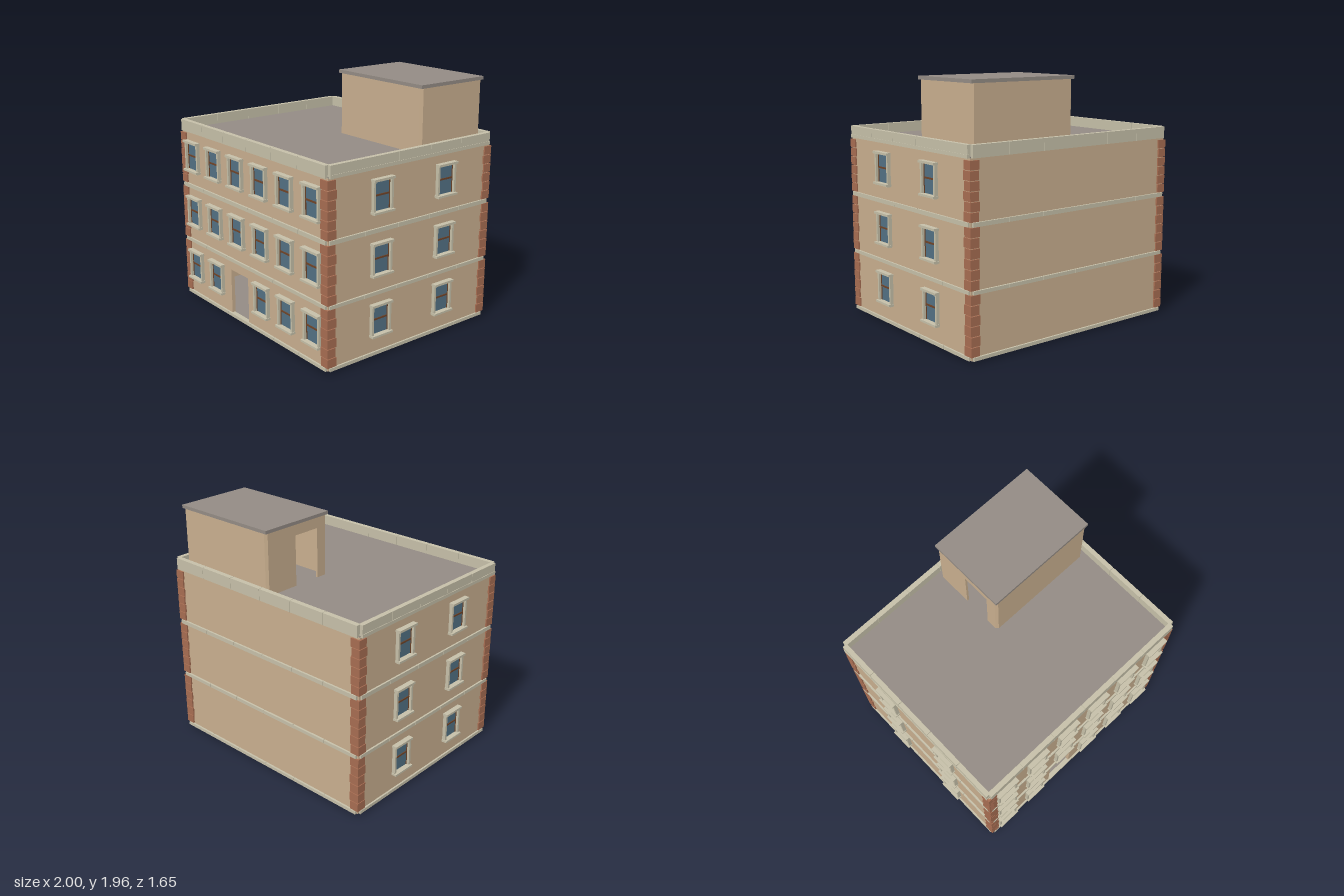
import * as THREE from 'three';

const mat = (name, color) => {
  const m = new THREE.MeshStandardMaterial({ color });
  m.name = name;
  return m;
};

export function createModel() {
  const wall = mat('tan wall', 0xc8ae8e);
  const stone = mat('pale stone', 0xc5bfa8);
  const brick = mat('red brick', 0xa66c51);
  const glass = mat('blue glass', 0x527083);
  const wood = mat('brown wood', 0x6e4429);
  const grey = mat('grey roofing', 0x938b84);

  const model = new THREE.Group();
  model.name = 'building';
  const group = (name, parent = model) => {
    const g = new THREE.Group();
    g.name = name;
    parent.add(g);
    return g;
  };
  // Box given by its limits on each axis
  const box = (parent, name, m, x0, x1, y0, y1, z0, z1) => {
    const mesh = new THREE.Mesh(new THREE.BoxGeometry(x1 - x0, y1 - y0, z1 - z0), m);
    mesh.position.set((x0 + x1) / 2, (y0 + y1) / 2, (z0 + z1) / 2);
    mesh.name = name;
    parent.add(mesh);
    return mesh;
  };

  // Main block limits
  const X = 0.955, ZF = 0.782, ZB = -0.812, T = 0.03;

  // Foundation, hollow walls with a front doorway, flat roof
  box(model, 'foundation', grey, -0.925, 0.925, 0, 0.04, -0.785, 0.76);
  const walls = group('walls');
  const y0 = 0.02, y1 = 1.44, doorL = -0.28, doorR = -0.04, doorTop = 0.415;
  box(walls, 'backWall', wall, -X, X, y0, y1, ZB, ZB + T);
  for (const s of [-1, 1]) {
    const a = s * X, b = s * (X - T);
    box(walls, 'sideWall', wall, Math.min(a, b), Math.max(a, b), y0, y1, ZB + T, ZF - T);
  }
  box(walls, 'frontWall', wall, -X, doorL, y0, doorTop, ZF - T, ZF);
  box(walls, 'frontWall', wall, doorR, X, y0, doorTop, ZF - T, ZF);
  box(walls, 'frontWall', wall, -X, X, doorTop, y1, ZF - T, ZF);
  box(model, 'roof', grey, -0.95, 0.95, 1.438, 1.452, -0.805, 0.775);

  // Stone courses: segmented strips around the block, with open corners
  const course = (name, bottom, top) => {
    const g = group(name), gap = 0.0015;
    const nx = 6, wx = 1.89 / nx;
    for (let i = 0; i < nx; i++) {
      const a = -0.945 + i * wx;
      box(g, 'frontStone', stone, a + gap, a + wx - gap, bottom, top, 0.757, 0.797);
      box(g, 'backStone', stone, a + gap, a + wx - gap, bottom, top, -0.828, -0.788);
    }
    const nz = 5, wz = 1.574 / nz;
    for (let i = 0; i < nz; i++) {
      const a = -0.8 + i * wz;
      box(g, 'leftStone', stone, 0.932, 0.969, bottom, top, a + gap, a + wz - gap);
      box(g, 'rightStone', stone, -0.969, -0.932, bottom, top, a + gap, a + wz - gap);
    }
    return g;
  };
  course('baseCourse', 0.018, 0.044);
  course('lowerCourse', 0.495, 0.522);
  course('upperCourse', 0.97, 1.002);
  const parapet = course('parapet', 1.442, 1.533);
  for (const s of [-1, 1]) {
    box(parapet, 'parapetLedge', stone, s * 0.955 - 0.018, s * 0.955 + 0.018, 1.44, 1.466, -0.8, 0.774);
  }

  // Brick quoins at the four corners, alternating long and short
  const quoins = group('quoins');
  for (const [bottom, top] of [[0.044, 0.495], [0.522, 0.97], [1.002, 1.43]]) {
    const n = 6, h = (top - bottom) / n;
    for (let i = 0; i < n; i++) {
      const lx = i % 2 ? 0.08 : 0.074, lz = i % 2 ? 0.072 : 0.08;
      const a = bottom + i * h + 0.003, b = bottom + (i + 1) * h - 0.003;
      for (const s of [-1, 1]) {
        const xa = s * 0.966, xb = s * (0.966 - lx);
        const lo = Math.min(xa, xb), hi = Math.max(xa, xb);
        // Two slabs form an L so the room behind stays clear
        const xo = s * (X - 0.02);
        for (const [zo, d] of [[0.794, -1], [-0.824, 1]]) {
          const zi = zo + d * 0.025, ze = zo + d * lz;
          box(quoins, 'quoin', brick, lo, hi, a, b, Math.min(zo, zi), Math.max(zo, zi));
          box(quoins, 'quoin', brick, Math.min(xa, xo), Math.max(xa, xo), a, b,
            Math.min(zi, ze), Math.max(zi, ze));
        }
      }
    }
  }

  // Sash window facing +z with its sill at the local origin
  const addWindow = (x, y, z, angle) => {
    const w = group('window');
    box(w, 'pane', glass, -0.076, 0.076, 0.012, 0.245, -0.002, 0.003);
    for (const s of [-1, 1]) {
      box(w, 'jamb', stone, s * 0.084 - 0.009, s * 0.084 + 0.009, 0.015, 0.242, 0, 0.028);
      box(w, 'sashSide', wood, s * 0.0725 - 0.003, s * 0.0725 + 0.003, 0.015, 0.242, 0, 0.008);
      box(w, 'sillFoot', stone, s * 0.08 - 0.01, s * 0.08 + 0.01, -0.005, 0.004, 0, 0.032);
    }
    box(w, 'meetingRail', wood, -0.075, 0.075, 0.126, 0.139, 0, 0.009);
    box(w, 'sill', stone, -0.098, 0.098, 0.002, 0.018, 0, 0.045);
    box(w, 'lintel', stone, -0.098, 0.098, 0.24, 0.258, 0, 0.042);
    w.position.set(x, y, z);
    w.rotation.y = angle;
  };
  for (let floor = 0; floor < 3; floor++) {
    const y = 0.169 + floor * 0.4725;
    for (let i = 0; i < 6; i++) {
      if (floor === 0 && i === 2) continue; // doorway
      addWindow(-0.79 + i * 0.316, y, ZF, 0);
    }
    for (const z of [0.3, -0.332]) {
      addWindow(X, y, z, Math.PI / 2);
      addWindow(-X, y, z, -Math.PI / 2);
    }
  }

  // Rooftop stair house with chamfered corners and a doorway on its right side
  const house = group('stairHouse');
  const hx0 = -0.016, hx1 = 0.898, hz0 = -0.757, hz1 = -0.125, c = 0.018;
  const hb = 1.445, ht = 1.938;
  box(house, 'houseFront', wall, hx0 + c, hx1 - c, hb, ht, hz1 - c, hz1);
  box(house, 'houseBack', wall, hx0 + c, hx1 - c, hb, ht, hz0, hz0 + c);
  box(house, 'houseLeft', wall, hx1 - c, hx1, hb, ht, hz0 + c, hz1 - c);
  box(house, 'houseRight', wall, hx0, hx0 + c, hb, ht, hz0 + c, -0.46);
  box(house, 'houseRight', wall, hx0, hx0 + c, hb, ht, -0.23, hz1 - c);
  box(house, 'houseRight', wall, hx0, hx0 + c, 1.85, ht, -0.46, -0.23);
  for (const x of [hx0 + c, hx1 - c]) for (const z of [hz0 + c, hz1 - c]) {
    const post = new THREE.Mesh(new THREE.CylinderGeometry(c, c, ht - hb, 4).toNonIndexed(), wall);
    post.geometry.computeVertexNormals();
    post.position.set(x, (hb + ht) / 2, z);
    post.name = 'houseCorner';
    house.add(post);
  }
  box(house, 'houseRoof', grey, -0.025, 0.906, 1.936, 1.962, -0.765, -0.118);

  return model;
}
